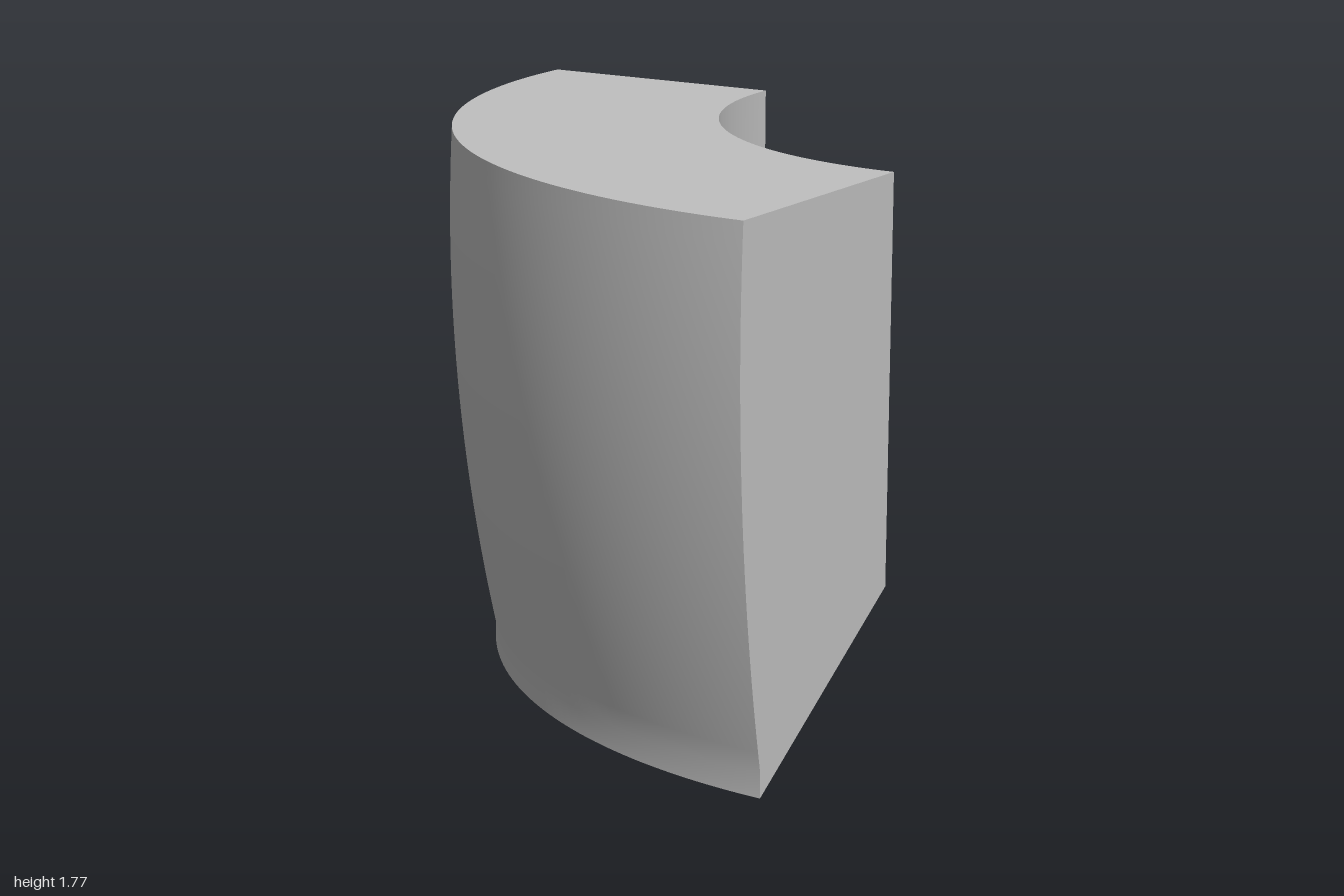
import * as THREE from 'three';

export function createModel() {
  const group = new THREE.Group();
  group.name = 'curvedBlock';
  const grey = new THREE.MeshStandardMaterial({ color: 0xc0c0c0 });
  grey.name = 'light grey';

  const top = 1.77, inner = 1.11, innerBottom = 0.455, lip = 0.08;
  const V = (r, y) => new THREE.Vector2(r, y);
  const bulge = (y) => 2 - 0.0775 * (1.4 - y) ** 2;

  // Bulging outer profile above a short straight lip, as radius and height
  const outer = [V(bulge(lip), 0)];
  for (let i = 0; i <= 24; i++) {
    const y = lip + (top - lip) * i / 24;
    outer.push(V(bulge(y), y));
  }
  const outerTop = outer[outer.length - 1];
  const innerTop = V(inner, top), innerLow = V(inner, innerBottom);

  const add = (name, geometry) => {
    const mesh = new THREE.Mesh(geometry, grey);
    mesh.name = name;
    // The axis of the quarter turn stands at the back left corner
    mesh.position.set(1, 0, -1);
    group.add(mesh);
  };

  // Quarter-turn surfaces, kept apart so the edges between them stay sharp
  const sweep = (name, points) =>
    add(name, new THREE.LatheGeometry(points, 64, -Math.PI / 2, Math.PI / 2));
  sweep('outerWall', outer);
  sweep('topFace', [outerTop, innerTop]);
  sweep('innerWall', [innerTop, innerLow]);
  sweep('slopedUnderside', [innerLow, outer[0]]);

  // Flat end faces
  const section = [...outer, innerTop, innerLow];
  const cap = (name, side, angle) => {
    const shape = new THREE.Shape(section.map((p) => V(p.x * side, p.y)));
    add(name, new THREE.ShapeGeometry(shape).rotateY(angle));
  };
  cap('leftEnd', -1, Math.PI / 2);
  cap('backEnd', 1, Math.PI);

  return group;
}
